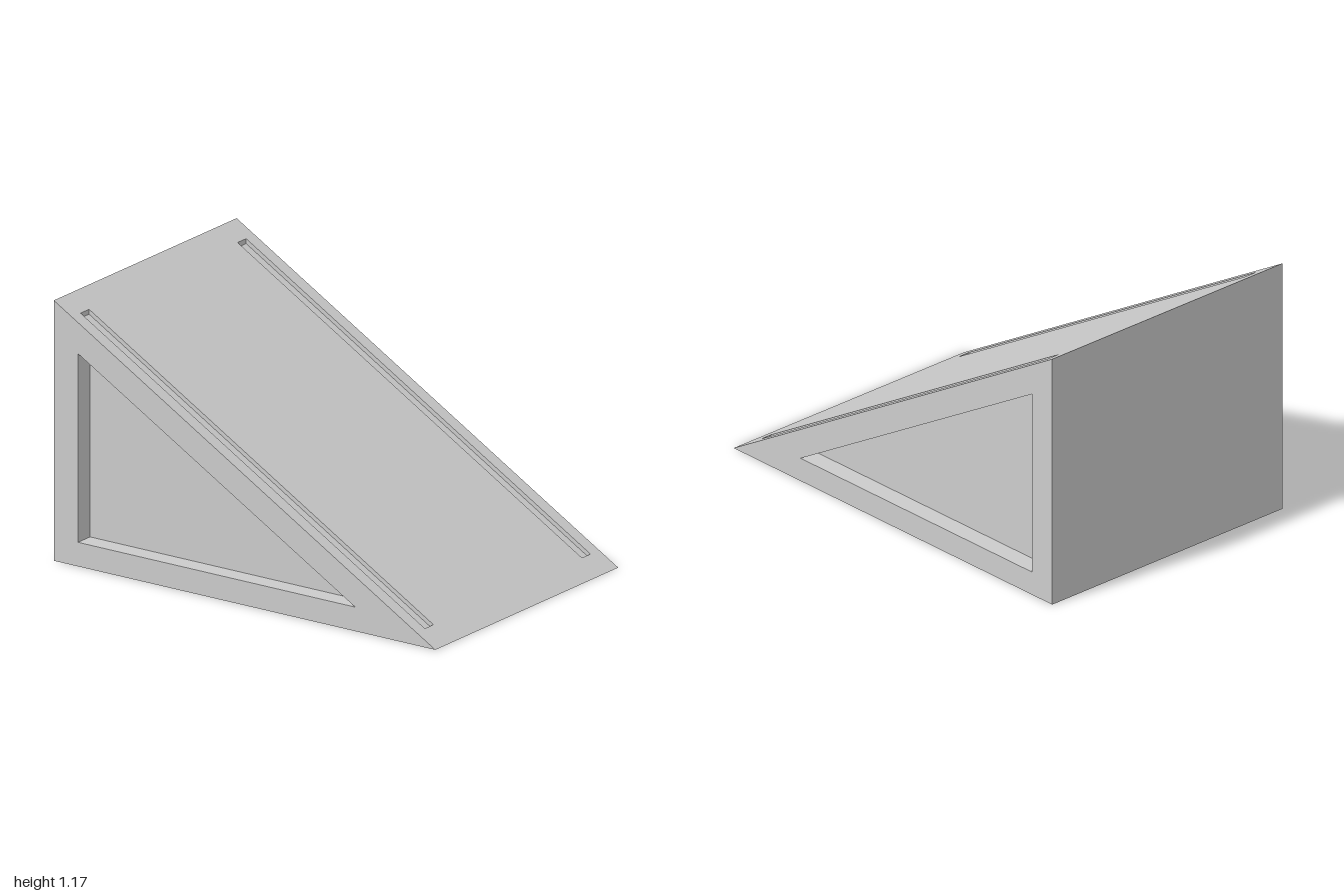
import * as THREE from 'three';

const W = 0.665, H = 1.17, L = 1;            // half width, height, half length
const slopeY = z => H * (L - z) / (2 * L);   // height of the ramp surface at z

// Flat panel with sunken pockets. place(u, v, d) maps panel coordinates and inward depth to
// space; u x v points outward. Each pocket gets walls and a floor.
function panel(name, place, outline, pockets = [], depth = 0) {
  const pos = [];
  const tri = (...pts) => pts.forEach(p => pos.push(...place(...p)));
  const toVec = pts => {
    const v = pts.map(([a, b]) => new THREE.Vector2(a, b));
    return THREE.ShapeUtils.isClockWise(v) ? v.reverse() : v;
  };
  const fill = (contour, holes, d) => {
    const all = [contour, ...holes].flat();
    for (const f of THREE.ShapeUtils.triangulateShape(contour, holes)) {
      tri(...f.map(i => [all[i].x, all[i].y, d]));
    }
  };

  const holes = pockets.map(toVec);
  fill(toVec(outline), holes.map(h => h.slice().reverse()), 0);
  for (const hole of holes) {
    fill(hole, [], depth);
    hole.forEach((a, i) => {
      const b = hole[(i + 1) % hole.length];
      tri([a.x, a.y, depth], [a.x, a.y, 0], [b.x, b.y, 0]);
      tri([a.x, a.y, depth], [b.x, b.y, 0], [b.x, b.y, depth]);
    });
  }

  const geo = new THREE.BufferGeometry();
  geo.setAttribute('position', new THREE.Float32BufferAttribute(pos, 3));
  geo.computeVertexNormals();
  const mesh = new THREE.Mesh(geo, new THREE.MeshStandardMaterial({ color: 0xcccccc, flatShading: true }));
  mesh.name = name;
  return mesh;
}

const rect = (x0, x1, y0, y1) => [[x0, y0], [x1, y0], [x1, y1], [x0, y1]];

export function createModel() {
  const group = new THREE.Group();
  group.name = 'wedgeRamp';

  // Ramp surface with two long shallow slots cut straight down
  group.add(panel('rampSurface', (u, v, d) => [u, slopeY(-v) - d, -v], rect(-W, W, -L, L),
    [rect(-0.602, -0.54, -0.9, 0.905), rect(0.54, 0.602, -0.9, 0.905)], 0.022));

  // Triangular sides, each with a triangular recess
  for (const s of [1, -1]) {
    const mirror = pts => pts.map(([z, y]) => [-s * z, y]);
    group.add(panel(s > 0 ? 'leftSide' : 'rightSide', (u, v, d) => [s * (W - d), v, -s * u],
      mirror([[L, 0], [-L, 0], [-L, H]]),
      [mirror([[0.58, 0.108], [-0.873, 0.108], [-0.873, 0.956]])], 0.088));
  }

  // Plain back and base
  group.add(panel('back', (u, v) => [-u, v, -L], rect(-W, W, 0, H)));
  group.add(panel('base', (u, v) => [u, 0, v], rect(-W, W, -L, L)));
  return group;
}
